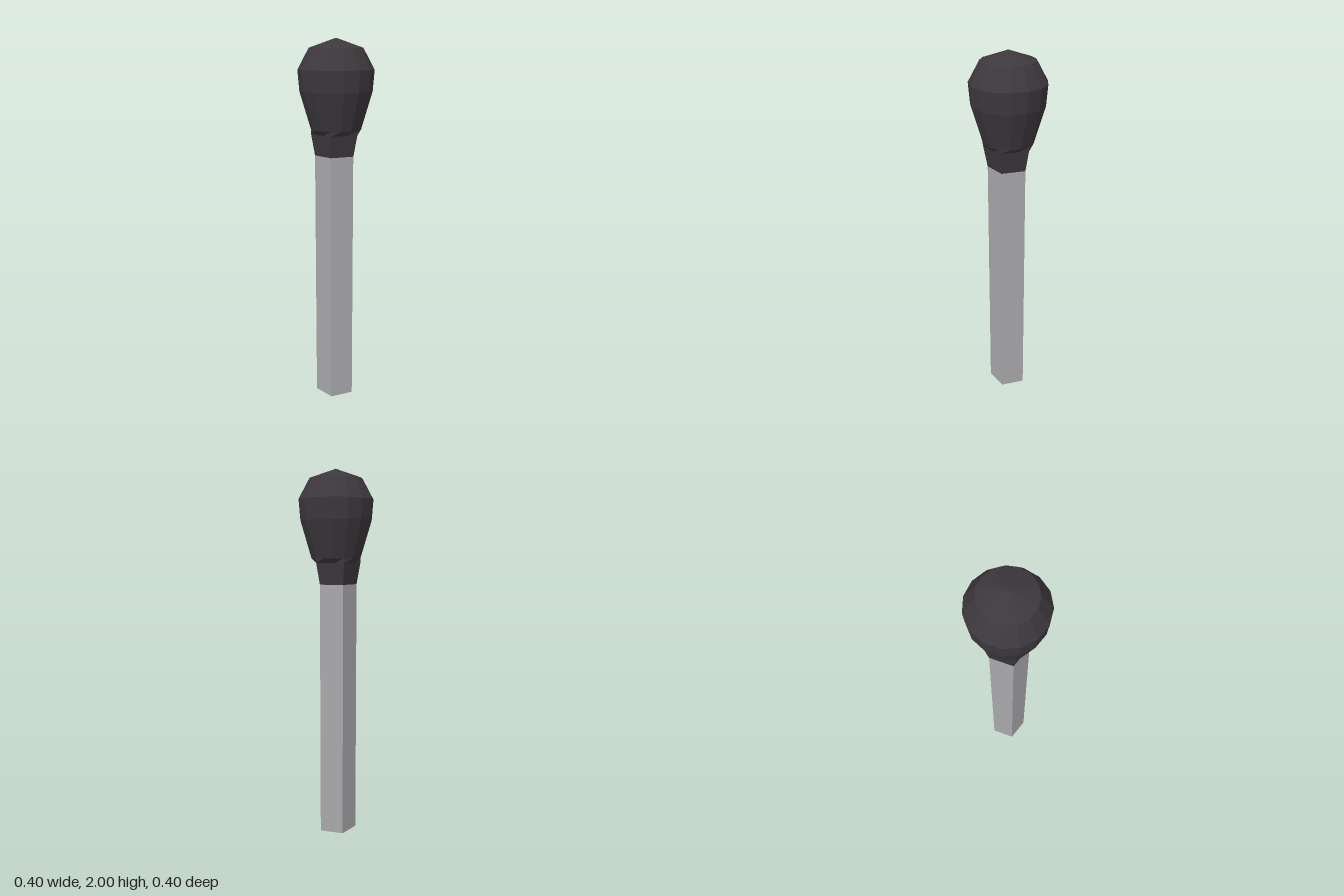
import * as THREE from 'three';

const SIDES = 15; // three head facets to each of the five stick faces
const STICK_R = 0.11, STICK_X = -0.006, NECK_Y = 1.39;

// Distance from the centre to a regular pentagon's outline at facet i
function pentagonRadius(r, i) {
  const local = ((i % 3) / 3) * (Math.PI * 2 / 5) - Math.PI / 5;
  return r * Math.cos(Math.PI / 5) / Math.cos(local);
}

// Rings from the pentagonal neck up to the round bulb
const rings = [
  { y: NECK_Y, r: STICK_R, x: STICK_X, pentagon: true },
  { y: 1.505, r: 0.132, x: -0.004, pentagon: true },
  { y: 1.53, r: 0.134, x: -0.002 },
  { y: 1.73, r: 0.193, x: -0.002 },
  { y: 1.84, r: 0.202, x: -0.002 },
  { y: 1.95, r: 0.142, x: -0.002 },
  { y: 2.0, r: 0, x: -0.002 },
];

function headGeometry() {
  const positions = [];
  const point = (ring, i) => {
    const a = (i / SIDES) * Math.PI * 2;
    const r = ring.pentagon ? pentagonRadius(ring.r, i) : ring.r;
    return [ring.x + r * Math.cos(a), ring.y, r * Math.sin(a)];
  };
  for (let k = 0; k < rings.length - 1; k++) {
    for (let i = 0; i < SIDES; i++) {
      const a = point(rings[k], i), b = point(rings[k], i + 1);
      const c = point(rings[k + 1], i + 1), d = point(rings[k + 1], i);
      positions.push(...a, ...d, ...b);
      if (rings[k + 1].r > 0) positions.push(...b, ...d, ...c);
    }
  }
  const geometry = new THREE.BufferGeometry();
  geometry.setAttribute('position', new THREE.Float32BufferAttribute(positions, 3));
  geometry.computeVertexNormals();
  return geometry;
}

export function createModel() {
  const group = new THREE.Group();
  group.name = 'matchstick';

  const stickMaterial = new THREE.MeshStandardMaterial({ color: 0xa9a8ab, flatShading: true });
  stickMaterial.name = 'grey stick';
  const headMaterial = new THREE.MeshStandardMaterial({ color: 0x3d383d, flatShading: true });
  headMaterial.name = 'charcoal head';

  // Five-sided stick with one corner towards +x
  const stick = new THREE.Mesh(
    new THREE.CylinderGeometry(STICK_R, STICK_R, NECK_Y, 5, 1, false, Math.PI / 2), stickMaterial);
  stick.name = 'stick';
  stick.position.set(STICK_X, NECK_Y / 2, 0);

  // Faceted bulb that narrows onto the stick
  const head = new THREE.Mesh(headGeometry(), headMaterial);
  head.name = 'head';

  group.add(stick, head);
  return group;
}
